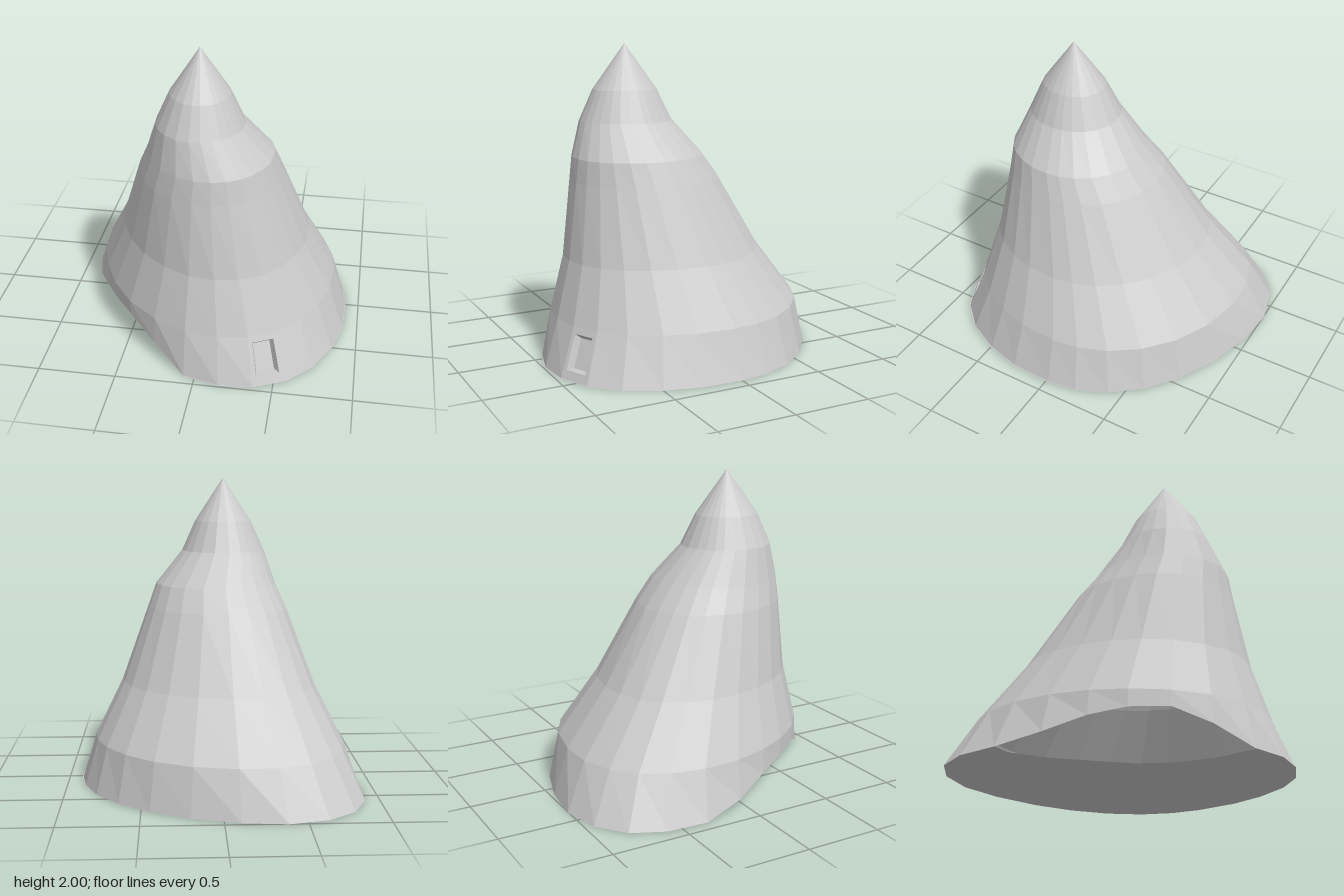
import * as THREE from 'three';

const V = (x, y, z) => new THREE.Vector3(x, y, z);

// Outline of the foot as [x, z], from the left side round the back
const FOOT = [
  [-0.92, -0.32], [-0.905, -0.59], [-0.81, -0.8], [-0.63, -0.94], [-0.38, -1], [-0.1, -0.97],
  [0.2, -0.88], [0.45, -0.75], [0.65, -0.59], [0.8, -0.4], [0.885, -0.2], [0.915, -0.01],
  [0.905, 0.27], [0.845, 0.5], [0.735, 0.72], [0.58, 0.88], [0.38, 0.97], [0.16, 0.99],
  [-0.07, 0.93], [-0.29, 0.78], [-0.48, 0.6], [-0.63, 0.4], [-0.75, 0.2], [-0.86, -0.04],
];
const N = FOOT.length;

// Rings: height, x range, z range, roundness (0 = foot outline, 1 = ellipse)
const RINGS = [
  [0, -0.92, 0.915, -1, 0.99, 0],
  [0.3, -0.83, 0.82, -0.89, 0.9, 0.4],
  [0.66, -0.65, 0.64, -0.6, 0.8, 0.45],
  [1.14, -0.48, 0.465, -0.29, 0.73, 0.7],
  [1.29, -0.41, 0.41, -0.17, 0.71, 0.8],
  [1.51, -0.33, 0.23, 0.02, 0.63, 1],
  [1.71, -0.24, 0.14, 0.12, 0.54, 1],
];
const APEX = V(-0.05, 2, 0.33);

// Height of the cave mouth at the foot points it crosses
const MOUTH = { 19: 0.12, 20: 0.2, 21: 0.19, 22: 0.145, 23: 0.06 };
const NICHE = 15; // facet holding the niche

function ring([y, x0, x1, z0, z1, round]) {
  return FOOT.map(([fx, fz]) => {
    const u = fx / 0.92, w = fz / 0.995, r = Math.hypot(u, w);
    const k = 1 - round + round / r;
    return V((x0 + x1) / 2 + (u * k * (x1 - x0)) / 2, y, (z0 + z1) / 2 + (w * k * (z1 - z0)) / 2);
  });
}

function makeMesh(name, triangles, material) {
  const geometry = new THREE.BufferGeometry().setFromPoints(triangles);
  geometry.computeVertexNormals();
  const mesh = new THREE.Mesh(geometry, material);
  mesh.name = name;
  return mesh;
}

export function createModel() {
  const group = new THREE.Group();
  group.name = 'rockyPeak';
  const material = new THREE.MeshStandardMaterial({
    color: 0xcccccc, flatShading: true, side: THREE.DoubleSide,
  });

  const rings = RINGS.map(ring);
  // Lift the foot along the slope to open the cave mouth
  for (const [i, h] of Object.entries(MOUTH)) rings[0][i].lerp(rings[1][i], h / 0.3);

  // Corners run lower, upper, upper next, lower next
  const quad = (out, a, b, c, d) => out.push(a, b, c, a, c, d);
  // Strip between two matching four-cornered loops
  const frame = (out, outer, inner) => {
    for (let k = 0; k < 4; k++) {
      const n = (k + 1) % 4;
      quad(out, outer[k], outer[n], inner[n], inner[k]);
    }
  };

  // Mountain sides
  const slope = [], niche = [];
  for (let r = 0; r < rings.length; r++) {
    for (let i = 0; i < N; i++) {
      const j = (i + 1) % N;
      const a = rings[r][i], d = rings[r][j];
      if (r === rings.length - 1) {
        slope.push(a, APEX, d);
        continue;
      }
      const b = rings[r + 1][i], c = rings[r + 1][j];
      if (r !== 0 || i !== NICHE) {
        quad(slope, a, b, c, d);
        continue;
      }
      // Niche sunk into one facet near the foot
      const at = (u, v) => a.clone().lerp(d, u).lerp(b.clone().lerp(c, u), v);
      const loop = (u0, u1, v0, v1) => [at(u0, v0), at(u0, v1), at(u1, v1), at(u1, v0)];
      const normal = b.clone().sub(a).cross(d.clone().sub(a)).normalize();
      const rim = loop(0.15, 0.87, 0.18, 0.87);
      const floor = loop(0.23, 0.79, 0.24, 0.82).map((p) => p.addScaledVector(normal, -0.045));
      frame(slope, [a, b, c, d], rim);
      frame(niche, rim, floor);
      quad(niche, ...floor);
    }
  }
  group.add(makeMesh('mountainSides', slope, material));
  group.add(makeMesh('niche', niche, material));

  // Flat underside, scooped out behind the cave mouth
  const scoop = [[-0.05, 0.65], [-0.1, 0.4], [-0.22, 0.18], [-0.4, 0], [-0.6, -0.2], [-0.8, -0.32]];
  const outline = [...FOOT.slice(0, 19), ...scoop].map(([x, z]) => new THREE.Vector2(x, z));
  const base = new THREE.Mesh(
    new THREE.ShapeGeometry(new THREE.Shape(outline)).rotateX(Math.PI / 2), material);
  base.name = 'underside';
  group.add(base);

  return group;
}
